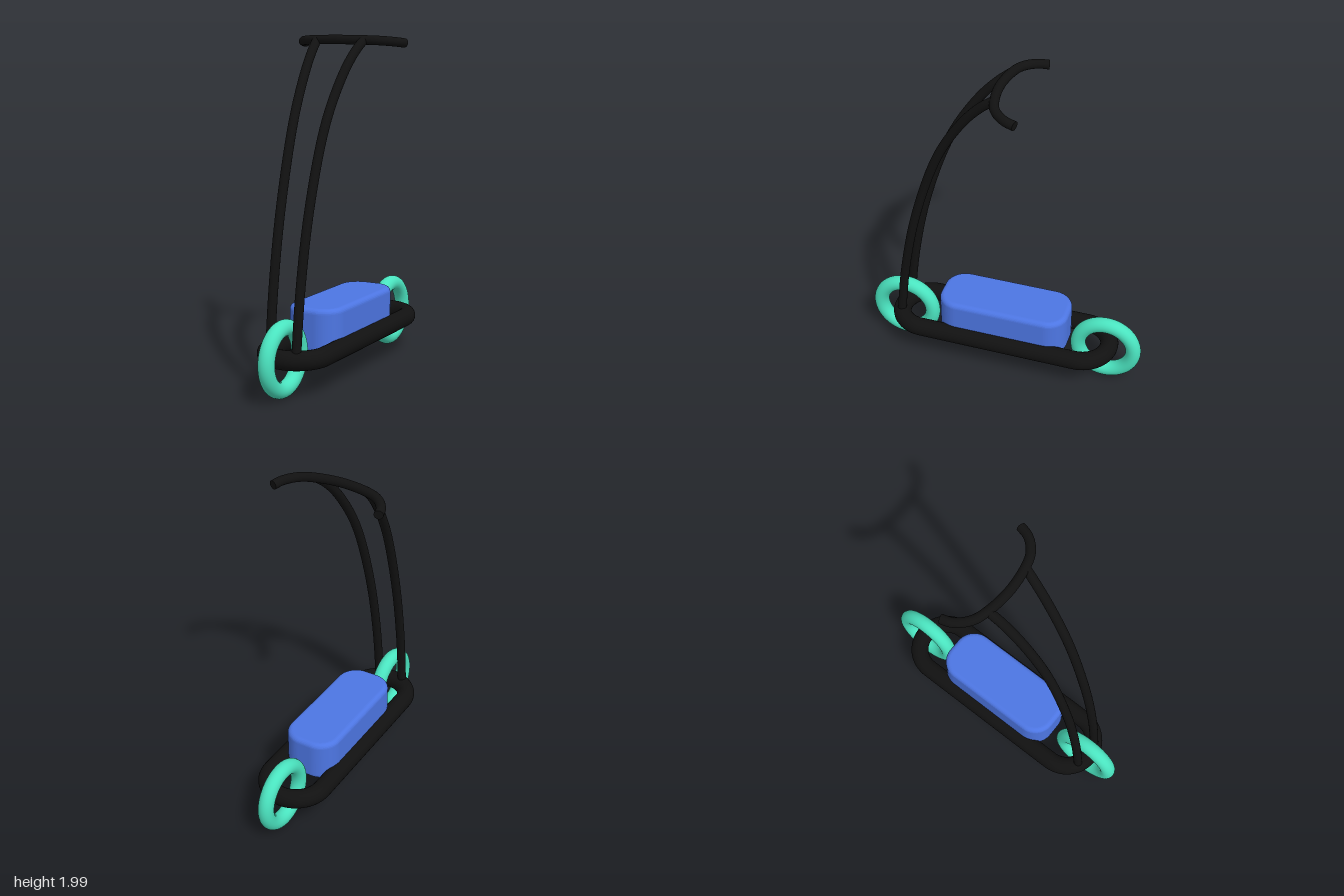
import * as THREE from 'three';

const black = new THREE.MeshStandardMaterial({ color: 0x111111 });
const blue = new THREE.MeshStandardMaterial({ color: 0x4d76e3 });
const teal = new THREE.MeshStandardMaterial({ color: 0x4ae3bf });

const v = (x, y, z) => new THREE.Vector3(x, y, z);

function add(parent, name, geometry, material) {
  const mesh = new THREE.Mesh(geometry, material);
  mesh.name = name;
  parent.add(mesh);
  return mesh;
}

// Smooth round tube through points, with flat caps on both ends
function cappedTube(name, points, radius) {
  const group = new THREE.Group();
  group.name = name;
  const curve = new THREE.CatmullRomCurve3(points, false, 'centripetal');
  add(group, name + 'Tube', new THREE.TubeGeometry(curve, 64, radius, 20), black);
  for (const t of [0, 1]) {
    const cap = add(group, name + 'Cap', new THREE.CircleGeometry(radius, 20), black);
    cap.position.copy(curve.getPointAt(t));
    const outward = curve.getTangentAt(t).multiplyScalar(t ? 1 : -1);
    cap.quaternion.setFromUnitVectors(v(0, 0, 1), outward);
  }
  return group;
}

// Stadium loop lying in the horizontal plane
class StadiumCurve extends THREE.Curve {
  constructor(radius, halfLength, y) {
    super();
    Object.assign(this, { radius, halfLength, y });
  }
  getPoint(t, target = new THREE.Vector3()) {
    const { radius: r, halfLength: h, y } = this;
    const arc = Math.PI * r, half = arc + 2 * h;
    const d = (((t % 1) + 1) % 1) * 2 * half;
    const s = d < half ? 1 : -1;
    const e = d % half;
    if (e < 2 * h) return target.set(s * r, y, s * (e - h));
    const a = (e - 2 * h) / r;
    return target.set(s * r * Math.cos(a), y, s * (h + r * Math.sin(a)));
  }
}

// Rounded rectangle with bevelled edges, extruded upward
function deckGeometry(width, length, height, corner, bevel) {
  const w = width / 2 - bevel, l = length / 2 - bevel, c = corner - bevel;
  const shape = new THREE.Shape();
  shape.absarc(w - c, l - c, c, 0, Math.PI / 2);
  shape.absarc(c - w, l - c, c, Math.PI / 2, Math.PI);
  shape.absarc(c - w, c - l, c, Math.PI, Math.PI * 1.5);
  shape.absarc(w - c, c - l, c, Math.PI * 1.5, Math.PI * 2);
  return new THREE.ExtrudeGeometry(shape, {
    depth: height - 2 * bevel, bevelThickness: bevel, bevelSize: bevel,
    bevelSegments: 6, curveSegments: 10,
  }).translate(0, 0, bevel).rotateX(-Math.PI / 2);
}

export function createModel() {
  const model = new THREE.Group();
  model.name = 'scooter';

  // Frame loop around the deck
  const loop = new StadiumCurve(0.175, 0.5, 0.23);
  add(model, 'frame', new THREE.TubeGeometry(loop, 160, 0.056, 24, true), black);

  // Deck block
  const deck = add(model, 'deck', deckGeometry(0.34, 0.82, 0.26, 0.13, 0.03), blue);
  deck.position.set(0, 0.2, -0.01);

  // Front and rear ring wheels
  for (const [name, z] of [['frontWheel', 0.655], ['rearWheel', -0.655]]) {
    const wheel = add(model, name, new THREE.TorusGeometry(0.175, 0.047, 24, 64), teal);
    wheel.rotation.y = Math.PI / 2;
    wheel.position.set(0, 0.23, z);
  }

  // Pair of curved uprights
  for (const [name, s] of [['leftUpright', 1], ['rightUpright', -1]]) {
    model.add(cappedTube(name, [
      v(s * 0.085, 0.23, 0.66), v(s * 0.087, 0.6, 0.615), v(s * 0.091, 1, 0.535),
      v(s * 0.1, 1.4, 0.41), v(s * 0.11, 1.6, 0.318), v(s * 0.127, 1.8, 0.186),
      v(s * 0.142, 1.91, 0.085), v(s * 0.155, 1.97, 0.01),
    ], 0.027));
  }

  // Handlebar sweeping back at both ends
  const side = [[0.332, -0.16], [0.315, -0.105], [0.277, -0.053], [0.225, -0.015], [0.16, 0.006], [0.08, 0.02]];
  const bar = [...side, [0, 0.025], ...side.map(([x, z]) => [-x, z]).reverse()];
  model.add(cappedTube('handlebar', bar.map(([x, z]) => v(x, 1.97 + 0.11 * z, z)), 0.027));

  return model;
}
